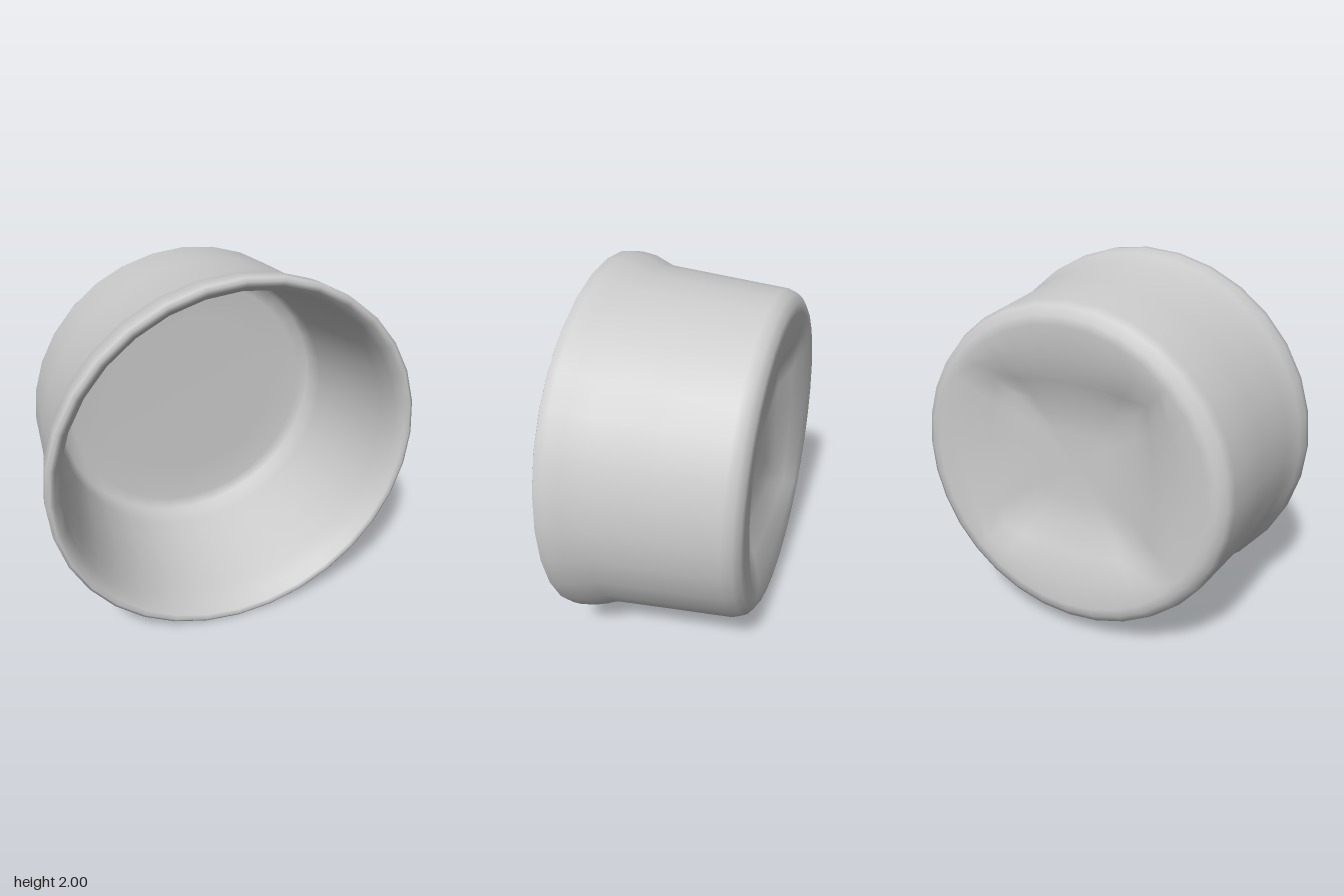
import * as THREE from 'three';
import { mergeVertices } from 'three/addons/utils/BufferGeometryUtils.js';

const SEGMENTS = 32;

// Profile as [radius, z, squareness]: 0 is a circle, 1 a full square.
const profile = [
  // square recess in the back, opening out to a rounder edge
  [0, -0.355], [0.18, -0.357, 1], [0.35, -0.37, 0.95], [0.48, -0.425, 0.65], [0.63, -0.472, 0.35],
  // rounded back edge and tapering outer wall
  [0.78, -0.485], [0.825, -0.48], [0.868, -0.45], [0.888, -0.4], [0.914, -0.08], [0.942, 0.25],
  // flared rim
  [0.985, 0.35], [0.998, 0.43], [0.998, 0.475], [0.98, 0.485], [0.955, 0.478],
  // inner wall and floor
  [0.92, 0.43], [0.895, 0.33], [0.865, 0.2], [0.825, -0.02], [0.795, -0.2],
  [0.792, -0.26], [0.765, -0.31], [0.7, -0.33], [0.5, -0.335], [0, -0.335],
];

function cupGeometry() {
  const points = profile.map(([r, z]) => new THREE.Vector2(r, z));
  const geo = new THREE.LatheGeometry(points, SEGMENTS);
  const pos = geo.attributes.position;
  // push the recess rings from circles towards squares
  for (let i = 0; i < pos.count; i++) {
    const squareness = profile[i % profile.length][2];
    if (!squareness) continue;
    const x = pos.getX(i), z = pos.getZ(i);
    const full = Math.hypot(x, z) / Math.max(Math.abs(x), Math.abs(z));
    const k = 1 + (full - 1) * squareness;
    pos.setX(i, x * k);
    pos.setZ(i, z * k);
  }
  // weld the seam for unbroken smooth shading
  geo.deleteAttribute('uv');
  geo.deleteAttribute('normal');
  const welded = mergeVertices(geo, 1e-4);
  welded.rotateX(Math.PI / 2);
  welded.computeVertexNormals();
  return welded;
}

export function createModel() {
  const group = new THREE.Group();
  group.name = 'roundCap';
  const cup = new THREE.Mesh(cupGeometry(), new THREE.MeshStandardMaterial({ color: 0xcccccc }));
  cup.name = 'capBody';
  cup.position.y = 1;
  group.add(cup);
  return group;
}
